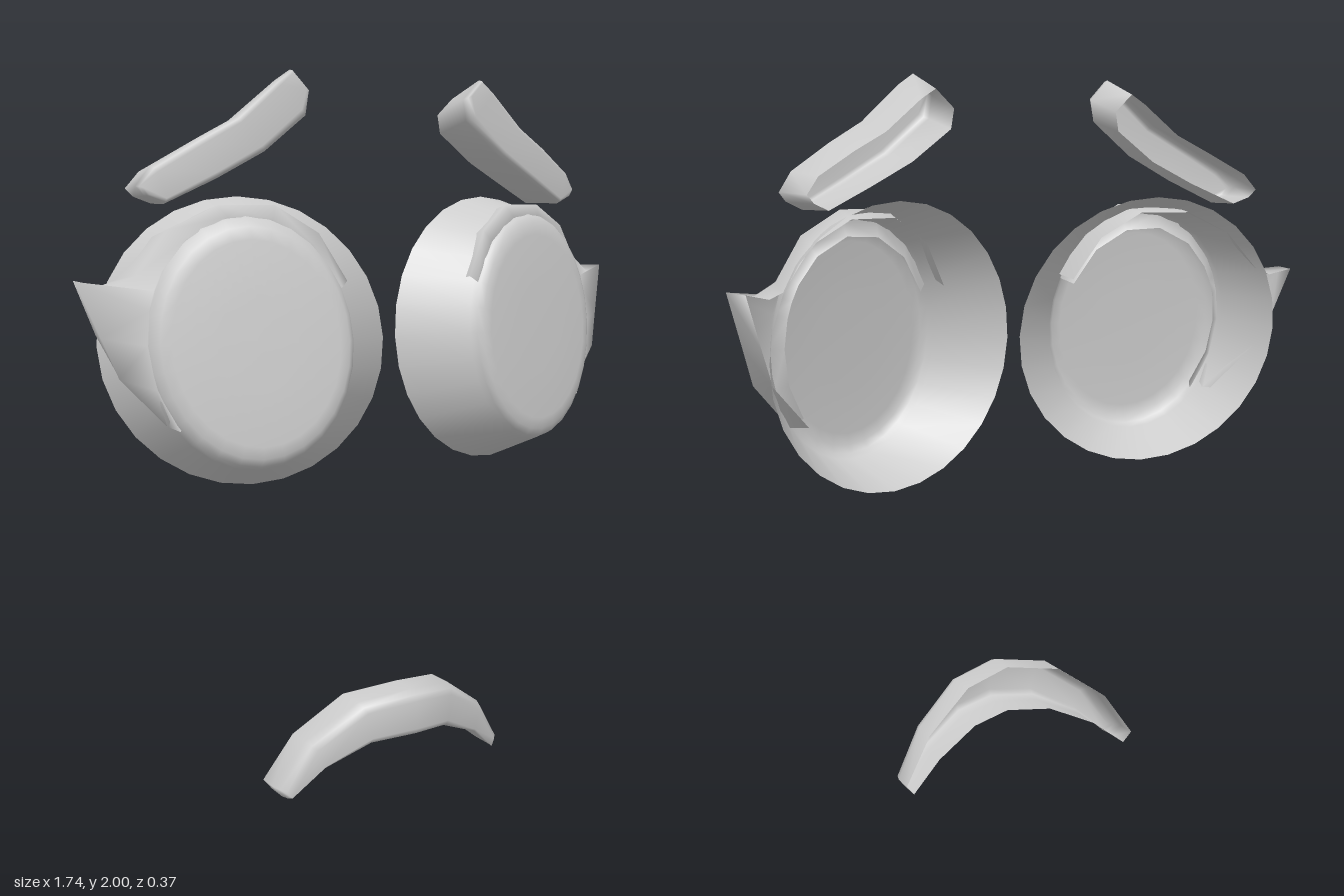
import * as THREE from 'three';

const material = new THREE.MeshStandardMaterial({ color: 0xcccccc, side: THREE.DoubleSide });

// Lofts rows of points; closed rows run counter-clockwise, back to front.
// cap: 'fan' closes the last row at its middle, 'strip' joins its opposite points.
function loft(name, rows, closed, cap) {
  const n = rows[0].length, pos = rows.flat(2), index = [];
  const quad = (a, b, c, d) => index.push(a, b, c, a, c, d);
  for (let r = 0; r < rows.length - 1; r++) {
    for (let i = 0; i < (closed ? n : n - 1); i++) {
      const j = (i + 1) % n;
      quad(r * n + i, r * n + j, (r + 1) * n + j, (r + 1) * n + i);
    }
  }
  const last = (rows.length - 1) * n;
  if (cap === 'fan') {
    const mid = [0, 1, 2].map(k => rows.at(-1).reduce((s, p) => s + p[k], 0) / n);
    pos.push(...mid);
    for (let i = 0; i < n; i++) index.push(last + i, last + (i + 1) % n, last + n);
  }
  if (cap === 'strip') {
    for (let i = 0; i < n / 2 - 1; i++) quad(last + i, last + i + 1, last + n - 2 - i, last + n - 1 - i);
  }
  const g = new THREE.BufferGeometry();
  g.setAttribute('position', new THREE.Float32BufferAttribute(pos, 3));
  g.setIndex(index);
  g.computeVertexNormals();
  const mesh = new THREE.Mesh(g, material);
  mesh.name = name;
  return mesh;
}

// Bar-like shell, open at the back, with a soft front edge.
function barShell(name, outline, frontZ, backZ, backXY, bevel, inset) {
  const n = outline.length;
  const cx = outline.reduce((s, p) => s + p[0], 0) / n;
  const shrink = k => outline.map(([x, y], i) => {
    const [ox, oy] = outline[n - 1 - i];
    const px = x + (ox - x) * k * 0.5, py = y + (oy - y) * k * 0.5;
    return [px + (cx - px) * k * 0.12, py];
  });
  const row = (pts, z, drop) => pts.map(([x, y]) => [x, y, z(x) - drop]);
  const back = outline.map(([x, y]) => [...backXY(x, y), backZ(x)]);
  return loft(name, [
    back,
    row(outline, frontZ, bevel),
    row(shrink(inset * 0.4), frontZ, bevel * 0.3),
    row(shrink(inset), frontZ, 0),
  ], true, 'strip');
}

// Front face of the eye: a tilted ellipse
const faceZ = (x, y) => 0.11 - 0.26 * (x - 0.46) - 0.1 * (y - 1.3);
function facePoint(angle, scale, dz) {
  const x = 0.46 + 0.262 * scale * Math.cos(angle);
  const y = 1.3 + 0.325 * scale * Math.sin(angle);
  return [x, y, faceZ(x, y) + dz];
}

function eyeball() {
  const angles = Array.from({ length: 28 }, (_, i) => i / 28 * Math.PI * 2);
  const rim = angles.map(a => {
    const dx = 0.385 * Math.cos(a), dy = 0.388 * Math.sin(a);
    return [0.405 + dx, 1.287 + dy, -0.07 - 0.24 * dx - 0.085 * dy];
  });
  const ring = (s, dz) => angles.map(a => facePoint(a, s, dz));
  return loft('eyeball', [
    rim, ring(1.02, -0.035), ring(0.985, -0.012), ring(0.92, 0.002), ring(0.82, 0.008), ring(0.4, 0.011),
  ], true, 'fan');
}

// Upper lid: a band around the face that flares into a pointed lash
function eyelid() {
  // angle, outer front edge, outer back edge
  const stations = [
    [-42, [0.675, 1.09, 0.02], [0.65, 1.1, -0.05]],
    [-20, [0.785, 1.215, -0.02], [0.76, 1.22, -0.1]],
    [0, [0.82, 1.32, -0.05], [0.8, 1.32, -0.14]],
    [16, [0.868, 1.462, -0.09], [0.845, 1.46, -0.168]],
    [25, [0.79, 1.445, -0.06], [0.78, 1.445, -0.15]],
    [35, [0.725, 1.475, -0.04], [0.74, 1.46, -0.14]],
    [55, [0.645, 1.59, -0.02], [0.65, 1.57, -0.11]],
    [80, [0.52, 1.652, 0.02], [0.53, 1.63, -0.08]],
    [105, [0.375, 1.652, 0.06], [0.39, 1.63, -0.04]],
    [130, [0.268, 1.58, 0.1], [0.28, 1.56, 0]],
    [155, [0.2, 1.455, 0.13], [0.21, 1.44, 0.04]],
  ];
  const rows = [[], [], [], []];
  for (const [deg, front, back] of stations) {
    const a = deg * Math.PI / 180;
    rows[0].push(back);
    rows[1].push(front);
    rows[2].push(facePoint(a, 1.01, -0.018));
    rows[3].push(facePoint(a, 0.88, -0.05));
  }
  return loft('eyelid', rows, false);
}

function brow() {
  const outline = [
    [0.25, 1.945], [0.26, 1.885], [0.38, 1.79], [0.51, 1.72], [0.645, 1.655], [0.69, 1.675],
    [0.712, 1.7], [0.675, 1.75], [0.56, 1.82], [0.46, 1.875], [0.35, 1.97], [0.305, 2.0],
  ];
  const bend = x => 0.36 * (x - 0.25) ** 2;
  return barShell('brow', outline, x => 0.04 - bend(x), x => -0.108 - bend(x),
    (x, y) => [0.25 + (x - 0.25) * 0.95, y - 0.13 * (y - 1.66)], 0.02, 0.3);
}

function mouth() {
  const bottom = [[0.36, 0.003], [0.265, 0.078], [0.13, 0.14], [0, 0.15]];
  const top = [[0.385, 0.035], [0.3, 0.162], [0.155, 0.265], [0, 0.287]];
  const flip = pts => pts.slice(0, 3).map(([x, y]) => [-x, y]);
  const outline = [...flip(bottom), ...bottom.slice().reverse(), ...top, ...flip(top).reverse()];
  return barShell('mouth', outline, x => 0.175 - 0.2 * Math.abs(x) - 0.33 * x * x,
    x => 0.06 - 0.26 * Math.abs(x), (x, y) => [x, y], 0.035, 0.4);
}

export function createModel() {
  const model = new THREE.Group();
  model.name = 'face';
  // Eye, lid and brow on both sides
  for (const side of [1, -1]) {
    const half = new THREE.Group();
    half.name = side > 0 ? 'leftEye' : 'rightEye';
    half.add(eyeball(), eyelid(), brow());
    half.scale.x = side;
    model.add(half);
  }
  model.add(mouth());
  return model;
}
